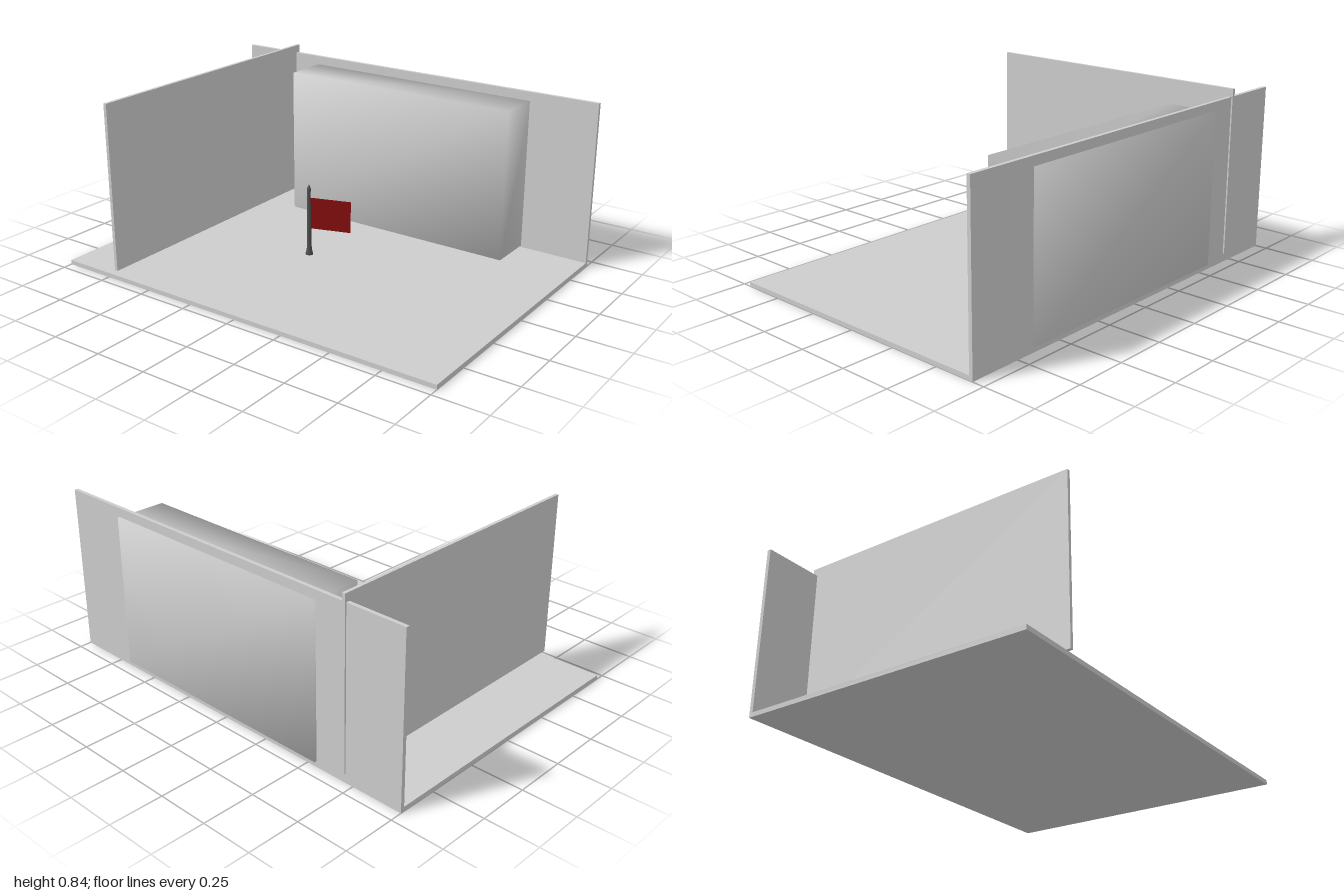
import * as THREE from 'three';
import { mergeVertices } from 'three/addons/utils/BufferGeometryUtils.js';

export function createModel() {
  const model = new THREE.Group();
  model.name = 'flagRoom';

  const mat = (name, color, side = THREE.FrontSide) => {
    const m = new THREE.MeshStandardMaterial({ color, side });
    m.name = name;
    return m;
  };
  const grey = mat('light grey', 0xcccccc);
  const iron = mat('dark iron', 0x505050);
  const red = mat('dark red', 0x850d0d, THREE.DoubleSide);

  const add = (name, geometry, material) => {
    const mesh = new THREE.Mesh(geometry, material);
    mesh.name = name;
    model.add(mesh);
    return mesh;
  };
  // Box given by its lower and upper corners
  const block = ([x0, y0, z0], [x1, y1, z1]) =>
    new THREE.BoxGeometry(x1 - x0, y1 - y0, z1 - z0)
      .translate((x0 + x1) / 2, (y0 + y1) / 2, (z0 + z1) / 2);

  // Floor slab and the two thin walls
  add('floor', block([-1, 0, -0.693], [1, 0.021, 0.705]), grey);
  add('backWall', block([-1, 0, -0.693], [1, 0.8, -0.675]), grey);
  add('sideWall', block([-0.711, 0.043, -0.7], [-0.695, 0.838, 0.7]), grey);

  // Thick panel through the back wall, with normals shared across its corners
  let panel = block([-0.551, 0.028, -0.705], [0.663, 0.757, -0.456]);
  panel.deleteAttribute('normal');
  panel.deleteAttribute('uv');
  panel = mergeVertices(panel);
  panel.computeVertexNormals();
  add('panel', panel, grey);

  // Flag pole with a flared foot and a pointed finial
  const poleProfile = [
    [0, 0.029], [0.018, 0.029], [0.017, 0.036], [0.012, 0.06], [0.011, 0.1],
    [0.008, 0.345], [0.01, 0.352], [0.008, 0.366], [0.004, 0.376], [0, 0.382],
  ].map(([r, y]) => new THREE.Vector2(r, y));
  const pole = add('flagPole', new THREE.LatheGeometry(poleProfile, 12), iron);
  pole.position.set(-0.114, 0, 0.006);

  // Flag cloth, swung slightly towards the back
  const dx = 0.188, dz = -0.06;
  const cloth = new THREE.PlaneGeometry(Math.hypot(dx, dz), 0.155);
  const flag = add('flag', cloth, red);
  flag.position.set(-0.107 + dx / 2, 0.239, 0.003 + dz / 2);
  flag.rotation.y = Math.atan2(-dz, dx);

  return model;
}
